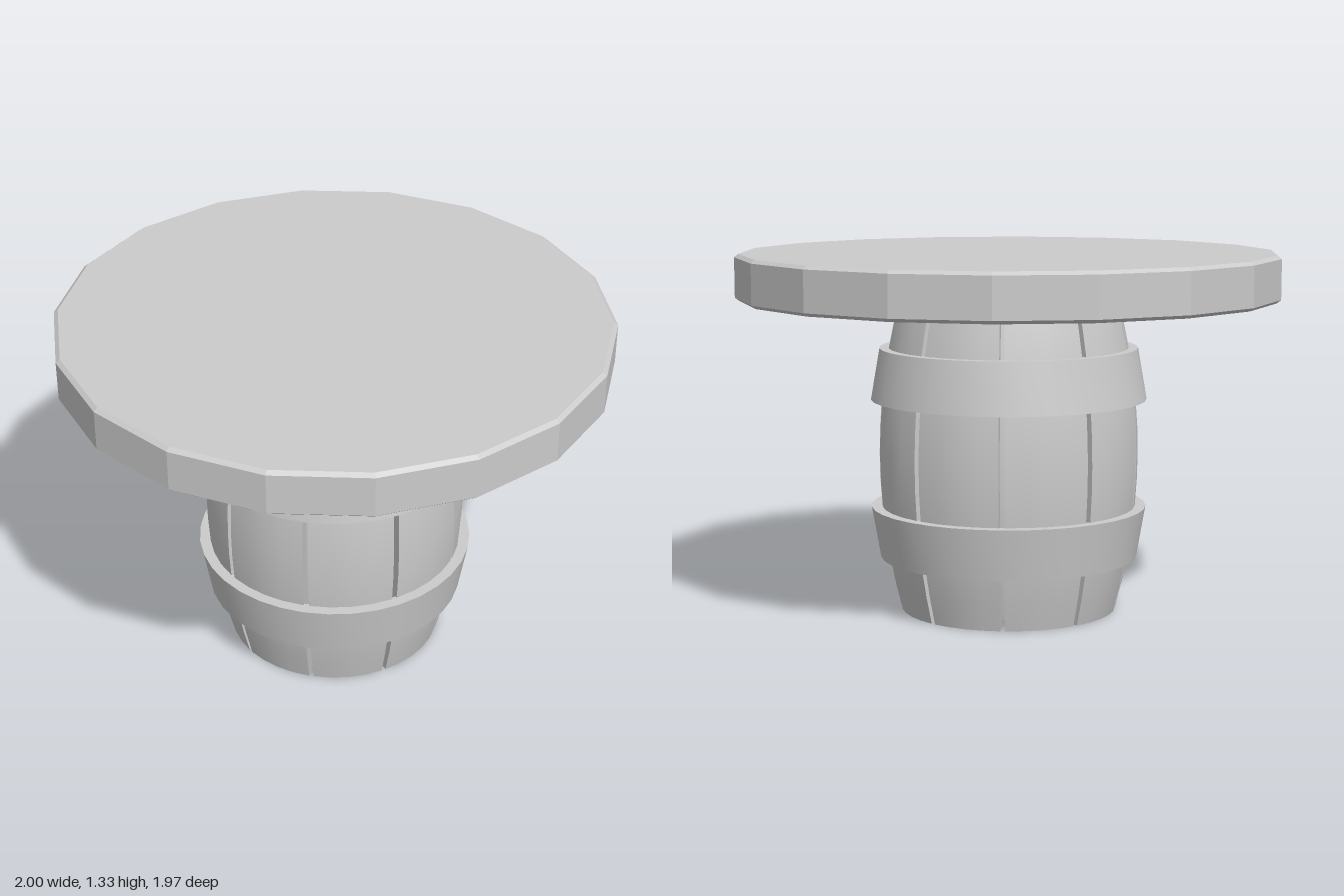
import * as THREE from 'three';
import { toCreasedNormals } from 'three/addons/utils/BufferGeometryUtils.js';

const BARREL_TOP = 1.18;
const STAVES = 9;
const STAVE_DEPTH = 0.06;
const rad = THREE.MathUtils.degToRad;

// Outer barrel radius at height y: a symmetric bulge
function barrelRadius(y) {
  const t = (y - 0.585) / 0.585;
  return 0.48 - 0.08 * t * t;
}

function lathe(points, segments, start = 0, crease = 0.5) {
  const pts = points.map(([r, y]) => new THREE.Vector2(r, y));
  return toCreasedNormals(new THREE.LatheGeometry(pts, segments, start), crease);
}

// A box bent around the y axis into one bulging stave
function staveGeometry() {
  const geo = new THREE.BoxGeometry(1, 1, 1, 4, 12, 1);
  const p = geo.attributes.position;
  const span = rad(360 / STAVES - 2.4);
  for (let i = 0; i < p.count; i++) {
    const angle = p.getX(i) * span;
    const y = (p.getY(i) + 0.5) * BARREL_TOP;
    const r = barrelRadius(y) + (p.getZ(i) - 0.5) * STAVE_DEPTH;
    p.setXYZ(i, r * Math.sin(angle), y, r * Math.cos(angle));
  }
  geo.computeVertexNormals();
  return geo;
}

export function createModel() {
  const model = new THREE.Group();
  model.name = 'barrelTable';
  const material = new THREE.MeshStandardMaterial({ color: 0xcccccc });

  function add(name, geometry, parent = model) {
    const mesh = new THREE.Mesh(geometry, material);
    mesh.name = name;
    parent.add(mesh);
    return mesh;
  }

  // Tabletop: 18-sided slab with small chamfers
  add('tabletop', lathe([
    [0, 1.16], [0.985, 1.16], [1, 1.172], [1, 1.318], [0.985, 1.33], [0, 1.33],
  ], 18, rad(10), 0.1));

  // Ring of separate staves
  const staves = new THREE.Group();
  staves.name = 'staves';
  model.add(staves);
  const stave = staveGeometry();
  for (let i = 0; i < STAVES; i++) {
    add('stave', stave, staves).rotation.y = rad(10 + i * 360 / STAVES);
  }

  // Core closing the gaps, with the recessed barrel bottom
  const core = [[0, 0.03]];
  for (let i = 0; i <= 12; i++) {
    const y = 0.03 + (BARREL_TOP - 0.03) * i / 12;
    core.push([barrelRadius(y) - STAVE_DEPTH + 0.005, y]);
  }
  core.push([0, BARREL_TOP]);
  add('barrelCore', lathe(core, 36));

  // Hoops, wider toward the middle of the barrel
  add('lowerHoop', lathe([
    [0.43, 0.2], [0.478, 0.2], [0.511, 0.39], [0.462, 0.39], [0.43, 0.2],
  ], 36));
  add('upperHoop', lathe([
    [0.462, 0.79], [0.511, 0.79], [0.478, 0.98], [0.43, 0.98], [0.462, 0.79],
  ], 36));

  return model;
}
